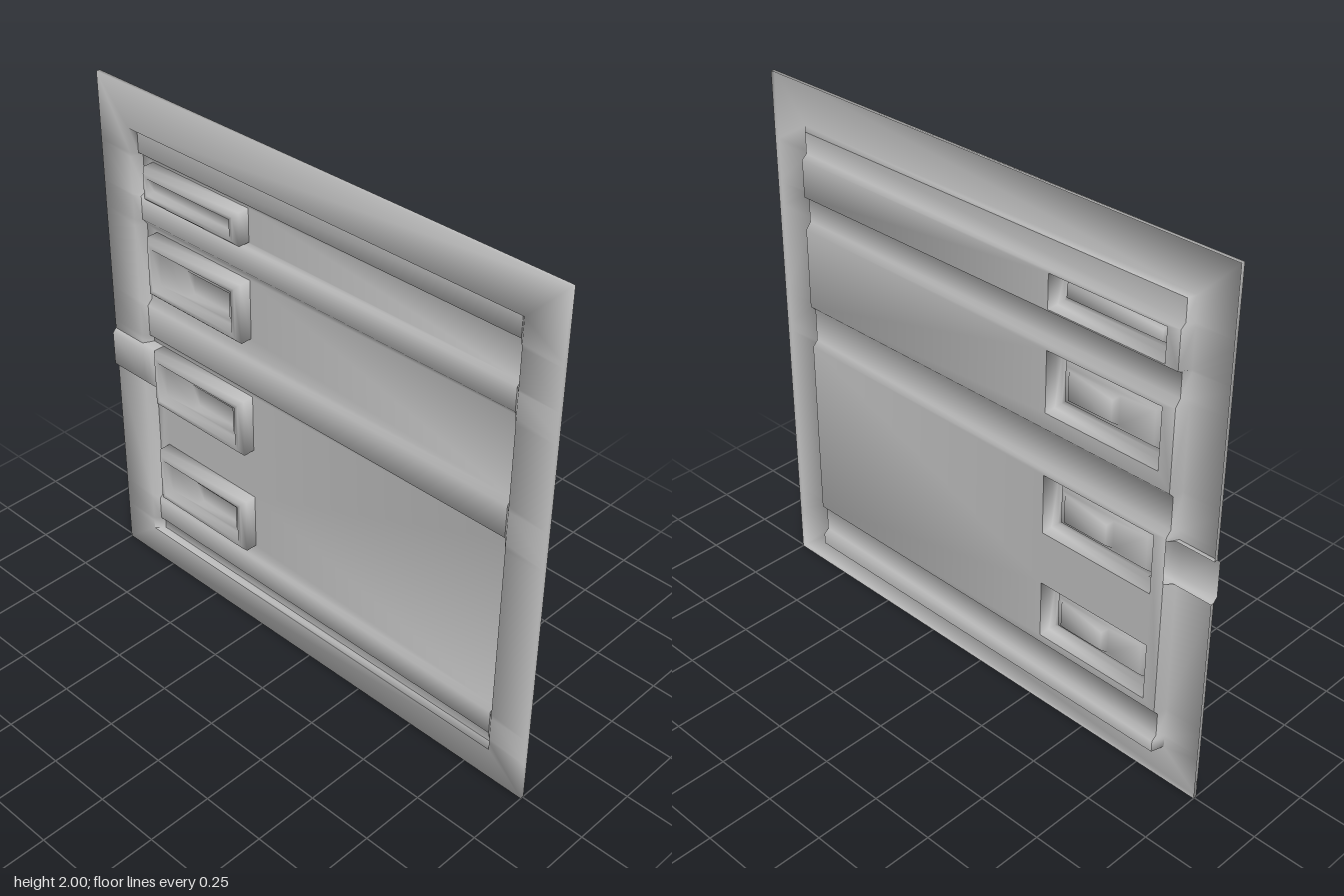
import * as THREE from 'three';
import { mergeGeometries, toCreasedNormals } from 'three/addons/utils/BufferGeometryUtils.js';

const BACK = -0.03, RIB = -0.01, FACE = 0.01;

// pressed profile of the panel, bottom to top: [y, z]
const PROFILE = [
  [0.115, BACK], [0.16, BACK], [0.175, RIB], [0.27, RIB], [0.29, BACK],
  [1.0, BACK], [1.02, RIB], [1.145, RIB], [1.165, BACK], [1.47, BACK],
  [1.495, RIB], [1.585, RIB], [1.595, BACK], [1.735, BACK], [1.75, RIB], [1.83, RIB],
];
const GAP = [0.82, 0.985]; // opening in the frame for the latch channel
const HX = [-0.78, -0.315]; // handle extent in x
const HANDLES = [[0.32, 0.545], [0.755, 0.985], [1.225, 1.455], [1.6, 1.725]];

// smooth normals shared across soft pressed edges
function soften(geo, angle = 1.7) {
  geo.scale(100, 100, 100);
  const out = toCreasedNormals(geo, angle);
  out.scale(0.01, 0.01, 0.01);
  return out;
}

// join successive rows of points with quads
function loft(rows, closed = false, cap = false) {
  const pos = [];
  const quad = (a, b, c, d) => pos.push(...a, ...b, ...c, ...a, ...c, ...d);
  for (let r = 0; r < rows.length - 1; r++) {
    const A = rows[r], B = rows[r + 1], n = A.length;
    for (let i = 0; i < (closed ? n : n - 1); i++) {
      const j = (i + 1) % n;
      quad(A[i], A[j], B[j], B[i]);
    }
  }
  if (cap) quad(...rows[rows.length - 1]);
  const geo = new THREE.BufferGeometry();
  geo.setAttribute('position', new THREE.Float32BufferAttribute(pos, 3));
  return geo;
}

const rect = (x0, x1, y0, y1, z) => [[x0, y0, z], [x1, y0, z], [x1, y1, z], [x0, y1, z]];

// one frame outline, starting and ending at the latch opening
function frameRow(x, bottom, top, z) {
  const pts = [...PROFILE, [GAP[0], BACK], [GAP[1], BACK]].sort((a, b) => a[0] - b[0]);
  const last = pts.length - 1;
  const at = (sx, i) => [
    sx * x, i === 0 ? bottom : i === last ? top : pts[i][0], z === null ? pts[i][1] : z,
  ];
  const row = [];
  const lo = pts.findIndex(p => p[0] === GAP[0]);
  for (let i = lo; i >= 0; i--) row.push(at(-1, i));
  for (let i = 0; i <= last; i++) row.push(at(1, i));
  for (let i = last; i > lo; i--) row.push(at(-1, i));
  return row;
}

// corrugated panel with openings behind the handles
function panelGeometry() {
  const parts = [], w = 0.83;
  for (let i = 0; i < PROFILE.length - 1; i++) {
    const [y0, z0] = PROFILE[i], [y1, z1] = PROFILE[i + 1];
    const inside = HANDLES.filter(h => h[0] > y0 && h[1] < y1);
    if (!inside.length) {
      parts.push(loft([[[-w, y0, z0], [w, y0, z0]], [[-w, y1, z1], [w, y1, z1]]]));
      continue;
    }
    const outline = rect(-w, w, y0, y1, 0).map(p => new THREE.Vector2(p[0], p[1]));
    const shape = new THREE.Shape(outline);
    for (const [a, b] of inside) {
      const hole = rect(HX[0], HX[1], a, b, 0).map(p => new THREE.Vector2(p[0], p[1]));
      shape.holes.push(new THREE.Path(hole.reverse()));
    }
    const flat = new THREE.ShapeGeometry(shape).toNonIndexed();
    flat.deleteAttribute('uv');
    flat.deleteAttribute('normal');
    flat.translate(0, 0, z0);
    parts.push(flat);
  }
  return soften(mergeGeometries(parts));
}

// raised hollow handle with a dished face and an inner pocket
function handleGeometry(y0, y1) {
  const inset = (d, z) => rect(HX[0] + d, HX[1] - d, y0 + d, y1 - d, z);
  const small = y1 - y0 < 0.2;
  const rows = [inset(0, BACK), inset(0, 0.015), inset(0.015, 0.03)];
  if (small) {
    rows.push(inset(0.03, 0.03), inset(0.043, 0.008));
  } else {
    rows.push(inset(0.032, 0.03), inset(0.05, 0.006));
    rows.push(rect(-0.59, -0.38, y0 + 0.062, y1 - 0.062, 0.006));
    rows.push(rect(-0.575, -0.395, y0 + 0.075, y1 - 0.075, -0.014));
  }
  return soften(loft(rows, true, true));
}

// cross-section of the latch channel
function channelRow(x, foot, height) {
  const [a, b] = GAP;
  return [
    [x, a, foot], [x, a, 0.01], [x, a + 0.015, height],
    [x, b - 0.015, height], [x, b, 0.01], [x, b, foot],
  ];
}

export function createModel() {
  const group = new THREE.Group();
  const metal = new THREE.MeshStandardMaterial({ color: 0xbdbdbd, side: THREE.DoubleSide });
  metal.name = 'grey metal';
  const add = (name, geo) => {
    const mesh = new THREE.Mesh(geo, metal);
    mesh.name = name;
    group.add(mesh);
  };

  // outer edge, front face and inner walls
  add('frame', soften(loft([
    frameRow(1, 0, 2, -0.005),
    frameRow(1, 0, 2, FACE),
    frameRow(0.85, 0.125, 1.84, FACE),
    frameRow(0.83, 0.115, 1.83, null),
  ])));

  add('panel', panelGeometry());
  HANDLES.forEach(([y0, y1], i) => add('handle' + (i + 1), handleGeometry(y0, y1)));

  // channel running from the third handle to the edge, with a slight dip at the handle
  add('latchChannel', soften(loft([
    channelRow(-0.77, BACK, 0.018),
    channelRow(-0.8, BACK, 0.025),
    channelRow(-0.83, BACK, 0.025),
    channelRow(-0.85, -0.005, 0.025),
    channelRow(-1, -0.005, 0.025),
  ])));

  return group;
}
